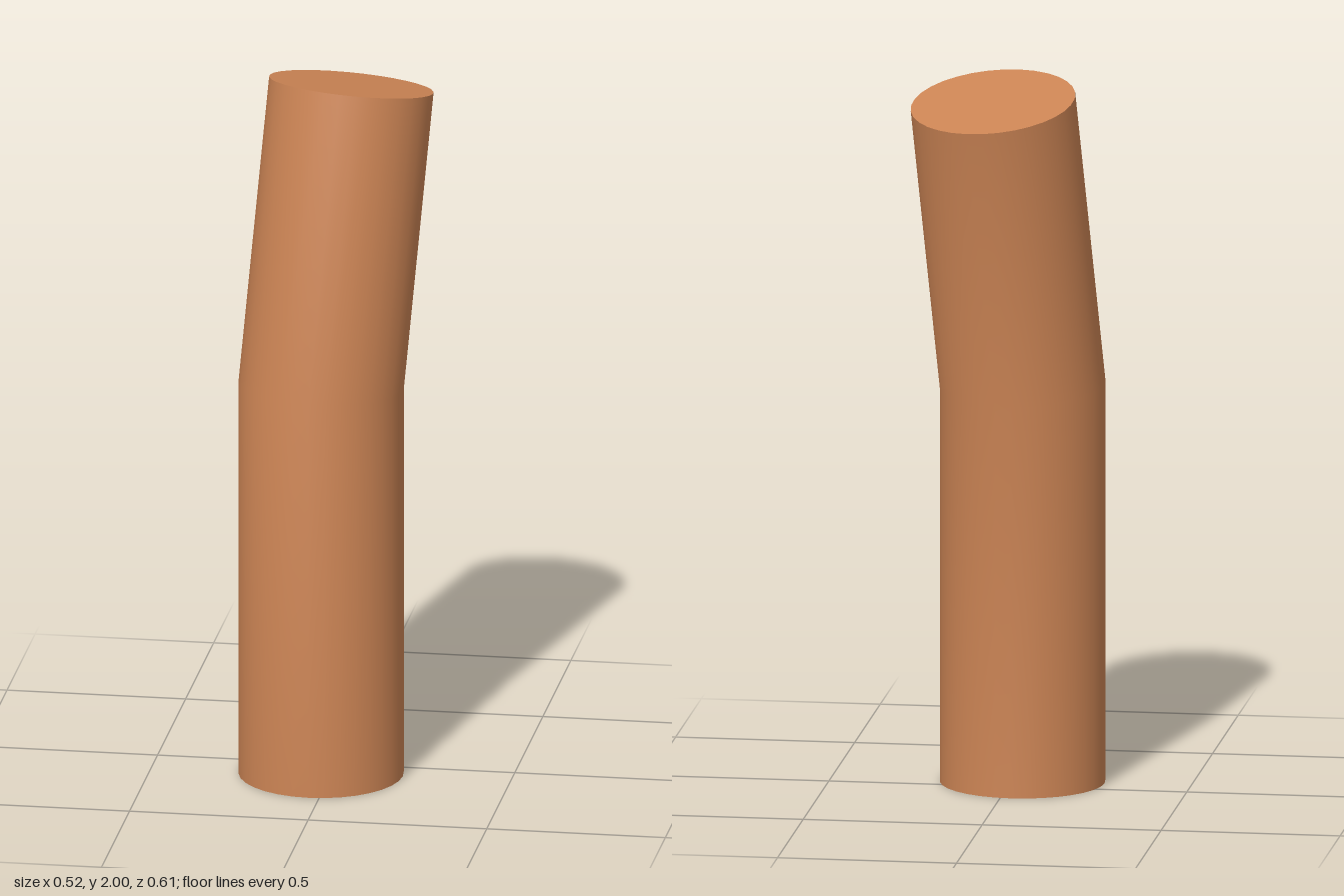
import * as THREE from 'three';

// A round rod standing upright, mitred at mid-height into a leaning upper half.
export function createModel() {
  const group = new THREE.Group();
  group.name = 'bentRod';

  const radius = 0.229;
  const base = new THREE.Vector3(-0.03, 0, 0.078);
  const bend = new THREE.Vector3(-0.03, 1.125, 0.078);
  const tip = new THREE.Vector3(0.03, 1.955, -0.08);
  const up = new THREE.Vector3(0, 1, 0);
  const lean = tip.clone().sub(bend).normalize();
  const mitre = lean.clone().add(up).normalize();
  const turnTip = new THREE.Quaternion().setFromUnitVectors(up, lean);
  const turnBend = new THREE.Quaternion().setFromUnitVectors(up, mitre);

  // Three rings: flat base, mitred bend, tilted tip
  const geometry = new THREE.CylinderGeometry(radius, radius, 2, 32, 2);
  const pos = geometry.attributes.position;
  const nor = geometry.attributes.normal;
  const p = new THREE.Vector3();
  const n = new THREE.Vector3();
  for (let i = 0; i < pos.count; i++) {
    p.fromBufferAttribute(pos, i);
    n.fromBufferAttribute(nor, i);
    const level = Math.round(p.y);
    p.y = 0;
    if (level < 0) {
      p.add(base);
    } else if (level === 0) {
      p.y = -(mitre.x * p.x + mitre.z * p.z) / mitre.y;
      p.add(bend);
      n.applyQuaternion(turnBend);
    } else {
      p.applyQuaternion(turnTip).add(tip);
      n.applyQuaternion(turnTip);
    }
    pos.setXYZ(i, p.x, p.y, p.z);
    nor.setXYZ(i, n.x, n.y, n.z);
  }

  const rod = new THREE.Mesh(geometry, new THREE.MeshStandardMaterial({ color: 0xcd8555 }));
  rod.name = 'rod';
  group.add(rod);
  return group;
}
